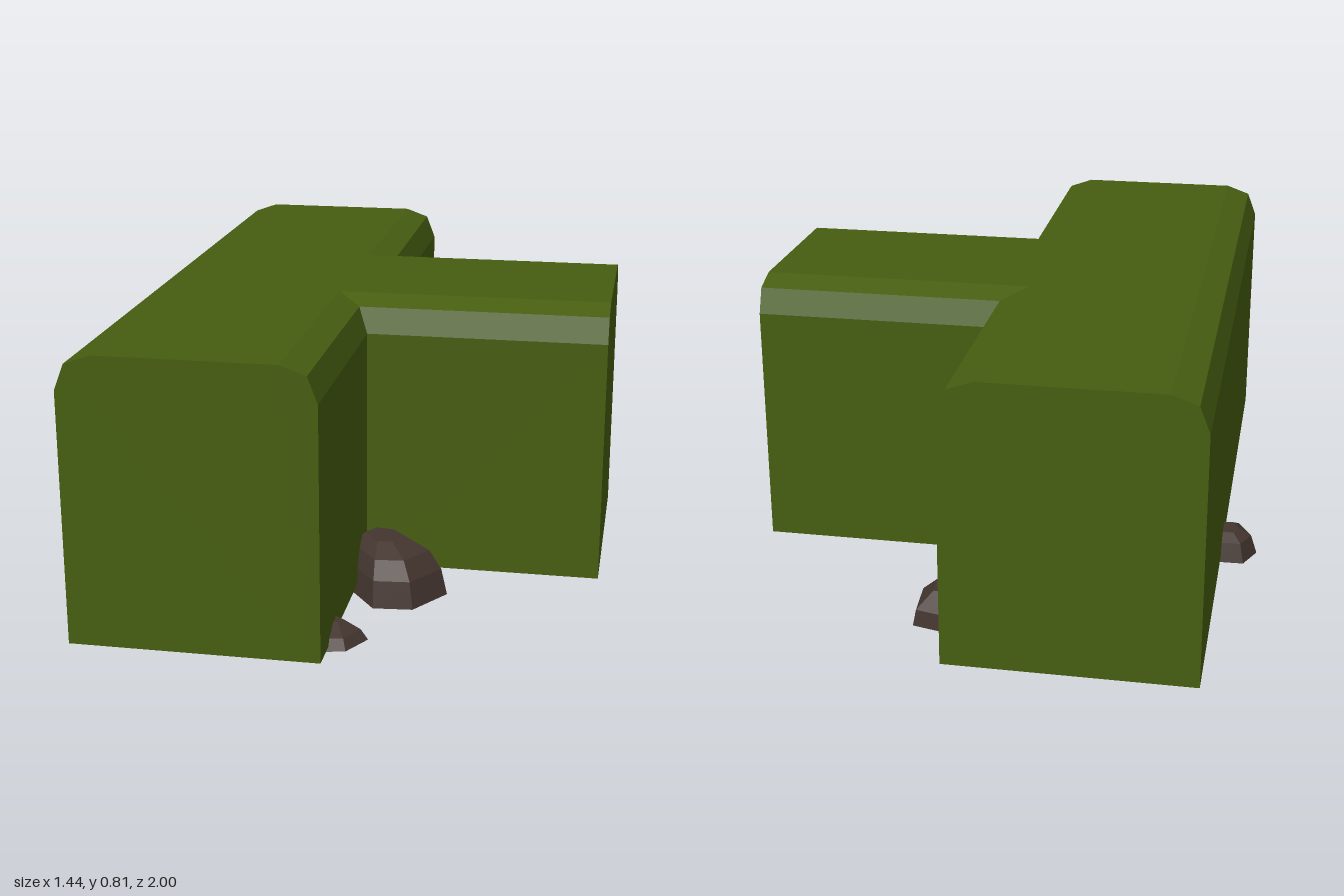
import * as THREE from 'three';

const green = new THREE.MeshStandardMaterial({ color: 0x465d10, side: THREE.DoubleSide, flatShading: true });
green.name = 'hedgeGreen';
const brown = new THREE.MeshStandardMaterial({ color: 0x43352f, side: THREE.DoubleSide, flatShading: true });
brown.name = 'rockBrown';

// Half profile of the hedge: [distance from the centre line, height]
const half = [[0.335, 0.03], [0.335, 0.72], [0.308, 0.79], [0.238, 0.815]];
const TOP = 0.815, FLAT = 0.238, BAR_X = -0.285, END_X = 0.717, END_Z = 1;

// Collects faces, turned to point towards a given outward direction
function surface() {
  const pos = [];
  const face = (points, out) => {
    const v = points.map(p => new THREE.Vector3(...p));
    const n = new THREE.Vector3().crossVectors(v[1].clone().sub(v[0]), v[2].clone().sub(v[0]));
    if (n.dot(new THREE.Vector3(...out)) < 0) v.reverse();
    for (let i = 1; i < v.length - 1; i++) {
      for (const p of [v[0], v[i], v[i + 1]]) pos.push(p.x, p.y, p.z);
    }
  };
  const mesh = (name, material) => {
    const g = new THREE.BufferGeometry();
    g.setAttribute('position', new THREE.Float32BufferAttribute(pos, 3));
    g.computeVertexNormals();
    const m = new THREE.Mesh(g, material);
    m.name = name;
    return m;
  };
  return { face, mesh };
}

// One side of a hedge: place(h, y) gives the two ends of each profile line
function side(s, place, out) {
  for (let i = 0; i < half.length - 1; i++) {
    const [a, b] = place(...half[i]), [c, d] = place(...half[i + 1]);
    s.face([a, b, d, c], out);
  }
}

// Full closed profile for the end caps
const outline = [...half, ...half.slice().reverse().map(([h, y]) => [-h, y])];

function longHedge() {
  const s = surface();
  side(s, (h, y) => [[BAR_X - h, y, -END_Z], [BAR_X - h, y, END_Z]], [-1, 0.5, 0]);
  for (const k of [-1, 1]) {
    // Inner side stops at the mitre with the branch
    side(s, (h, y) => [[BAR_X + h, y, k * h], [BAR_X + h, y, k * END_Z]], [1, 0.5, 0]);
    s.face(outline.map(([h, y]) => [BAR_X + h, y, k * END_Z]), [0, 0, k]);
  }
  s.face([[BAR_X - FLAT, TOP, -END_Z], [BAR_X + FLAT, TOP, -END_Z],
    [BAR_X + FLAT, TOP, END_Z], [BAR_X - FLAT, TOP, END_Z]], [0, 1, 0]);
  return s.mesh('longHedge', green);
}

function branchHedge() {
  const s = surface();
  for (const k of [-1, 1]) {
    side(s, (h, y) => [[BAR_X + h, y, k * h], [END_X, y, k * h]], [0, 0.5, k]);
  }
  s.face(outline.map(([h, y]) => [END_X, y, h]), [1, 0, 0]);
  s.face([[BAR_X + FLAT, TOP, -FLAT], [END_X, TOP, -FLAT],
    [END_X, TOP, FLAT], [BAR_X + FLAT, TOP, FLAT]], [0, 1, 0]);
  return s.mesh('branchHedge', green);
}

// Rock shell: a ground outline drawn in towards a peak, open underneath
function rock(name, base, peak, y0, levels) {
  const s = surface();
  const rings = levels.map(([y, inset]) => base.map(([x, z]) => [
    x + (peak[0] - x) * inset, y0 + y, z + (peak[1] - z) * inset]));
  const n = base.length;
  for (let r = 0; r < rings.length - 1; r++) {
    for (let i = 0; i < n; i++) {
      const j = (i + 1) % n, a = rings[r][i], b = rings[r][j];
      const out = [(a[0] + b[0]) / 2 - peak[0], 0.05, (a[2] + b[2]) / 2 - peak[1]];
      s.face([a, b, rings[r + 1][j], rings[r + 1][i]], out);
    }
  }
  s.face(rings[rings.length - 1], [0, 1, 0]);
  return s.mesh(name, brown);
}

export function createModel() {
  const group = new THREE.Group();
  group.name = 'hedge';
  group.add(longHedge(), branchHedge());

  group.add(
    rock('largeRock', [[-0.01, 0.42], [0.06, 0.31], [0.19, 0.33], [0.3, 0.45], [0.22, 0.572], [0.11, 0.582]],
      [0.1, 0.4], 0, [[0, 0], [0.075, 0.09], [0.125, 0.27], [0.155, 0.62]]),
    rock('smallFrontRock', [[-0.04, 0.84], [0.03, 0.74], [0.14, 0.82], [0.095, 0.9], [0.03, 0.915]],
      [0.05, 0.81], 0.02, [[0, 0], [0.027, 0.22], [0.05, 0.75]]),
    rock('backRock', [[-0.03, -0.7], [0.03, -0.835], [0.17, -0.8], [0.18, -0.665], [0.12, -0.587], [0.03, -0.62]],
      [0.07, -0.72], 0.02, [[0, 0], [0.045, 0.08], [0.09, 0.5]]),
    rock('leftRock', [[-0.72, -0.18], [-0.67, -0.085], [-0.58, -0.09], [-0.57, -0.2], [-0.61, -0.26], [-0.685, -0.258]],
      [-0.63, -0.18], 0.01, [[0, 0], [0.055, 0.2], [0.075, 0.6]])
  );
  return group;
}
